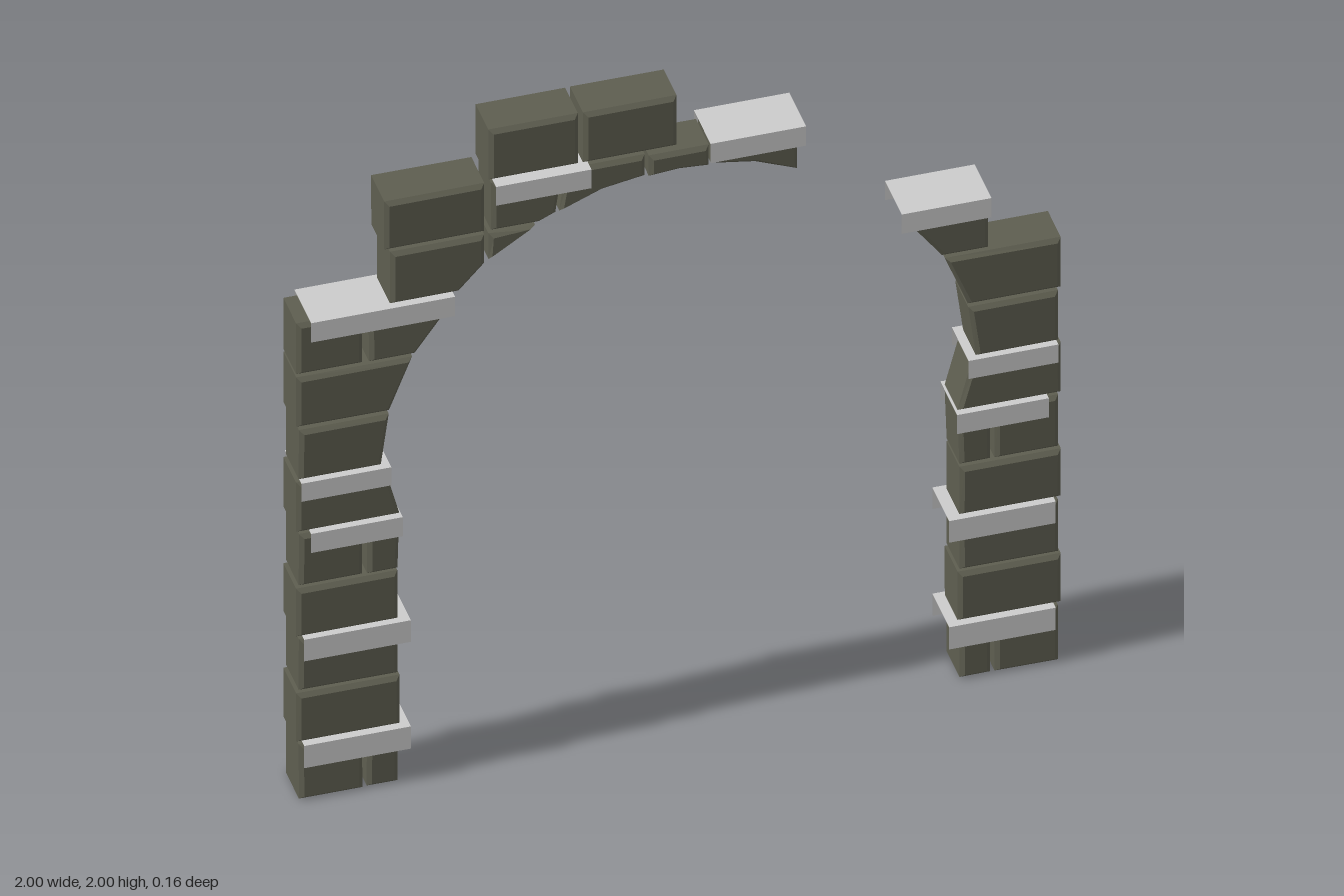
import * as THREE from 'three';

const stoneMat = new THREE.MeshStandardMaterial({ color: 0x5e5e50, flatShading: true });
const sheetMat = new THREE.MeshStandardMaterial({ color: 0xcccccc, flatShading: true, side: THREE.DoubleSide });

let seed = 7;
const rand = () => (seed = (seed * 16807) % 2147483647) / 2147483647;

// Rough-cut stone: outline in the wall plane, chamfered front and back, slightly tapered in depth
function stone(name, points, zMid = -0.002) {
  const bevel = 0.011, half = 0.066;
  const pts = points.map(([x, y]) => new THREE.Vector2(x, y));
  if (THREE.ShapeUtils.isClockWise(pts)) pts.reverse();
  const geo = new THREE.ExtrudeGeometry(new THREE.Shape(pts), {
    depth: 2 * (half - bevel), bevelEnabled: true, bevelSegments: 1,
    bevelSize: bevel, bevelOffset: -bevel, bevelThickness: bevel, steps: 1,
  });
  geo.translate(0, 0, bevel - half);
  geo.computeBoundingBox();
  const { min, max } = geo.boundingBox;
  const taper = (rand() - 0.5) * 0.1, twist = (rand() - 0.5) * 0.06;
  const pos = geo.attributes.position;
  for (let i = 0; i < pos.count; i++) {
    const u = (pos.getX(i) - min.x) / (max.x - min.x) - 0.5;
    const v = (pos.getY(i) - min.y) / (max.y - min.y) - 0.5;
    pos.setZ(i, pos.getZ(i) * (1 + taper * v + twist * u) + zMid);
  }
  geo.computeVertexNormals();
  const mesh = new THREE.Mesh(geo, stoneMat);
  mesh.name = name;
  return mesh;
}

const quad = (x0, x1, y0, y1) => [[x0, y0], [x1, y0], [x1, y1], [x0, y1]];

// Thin folded cover: top sheet with a flap hanging down the front and the back
function cover(name, x0, x1, yLow, yTop, zBack = -0.078, zFront = 0.067) {
  const group = new THREE.Group();
  group.name = name;
  const w = x1 - x0, h = yTop - yLow, cx = (x0 + x1) / 2, d = zFront - zBack;
  const top = new THREE.Mesh(new THREE.PlaneGeometry(w, d).rotateX(-Math.PI / 2), sheetMat);
  top.position.set(cx, yTop, (zFront + zBack) / 2);
  top.name = name + 'Top';
  group.add(top);
  for (const [z, label] of [[zFront, 'Front'], [zBack, 'Back']]) {
    const geo = new THREE.PlaneGeometry(w, h);
    if (label === 'Back') geo.rotateY(Math.PI);
    const flap = new THREE.Mesh(geo, sheetMat);
    flap.position.set(cx, (yTop + yLow) / 2, z);
    flap.name = name + label;
    group.add(flap);
  }
  return group;
}

// Pillar courses: y range, inner edge at the bottom and top, and whether the course is split
const courses = [
  [0, 0.17, 0.735, 0.735, true],
  [0.18, 0.333, 0.73, 0.73],
  [0.341, 0.503, 0.735, 0.735],
  [0.513, 0.663, 0.735, 0.735],
  [0.672, 0.835, 0.735, 0.73, true],
  [0.843, 0.998, 0.73, 0.77],
  [1.006, 1.163, 0.778, 0.758],
  [1.173, 1.33, 0.757, 0.697],
];

function pillar(side) {
  const group = new THREE.Group();
  group.name = side > 0 ? 'leftPillar' : 'rightPillar';
  courses.forEach(([y0, y1, in0, in1, split], i) => {
    const outer = side * (i % 2 ? 1 : 0.993);
    const a = side * in0, b = side * in1;
    if (split) {
      group.add(stone('pillarStone', quad(outer, side * 0.827, y0, y1)));
      group.add(stone('pillarStone', [[side * 0.815, y0], [a, y0], [b, y1], [side * 0.815, y1]]));
    } else {
      group.add(stone('pillarStone', [[outer, y0], [a, y0], [b, y1], [outer, y1]]));
    }
  });
  // Covers on four of the seams
  for (const [inner, outer, low, top] of [
    [0.704, 0.983, 0.103, 0.173], [0.704, 0.983, 0.44, 0.508],
    [0.725, 0.965, 0.778, 0.838], [0.755, 0.99, 0.945, 1.002],
  ]) {
    group.add(cover('seamCover', Math.min(side * inner, side * outer), Math.max(side * inner, side * outer), low, top));
  }
  // Springing stone where the arch leaves the pillar
  group.add(stone('springStone', [[side * 0.81, 1.34], [side * 0.69, 1.34], [side * 0.61, 1.45],
    [side * 0.6, 1.498], [side * 0.81, 1.498]]));
  return group;
}

export function createModel() {
  const model = new THREE.Group();
  model.name = 'ruinedStoneArch';
  const left = pillar(1), right = pillar(-1);
  left.add(cover('springCover', 0.58, 0.815, 1.442, 1.503));
  right.add(stone('pillarStone', quad(-1, -0.828, 1.34, 1.5)));
  right.add(cover('springCover', -0.965, -0.588, 1.442, 1.503));
  model.add(left, right);

  // Surviving part of the arch
  const arch = new THREE.Group();
  arch.name = 'arch';
  const archStones = [
    [[-0.755, 1.51], [-0.575, 1.51], [-0.508, 1.582], [-0.508, 1.672], [-0.755, 1.672]],
    quad(-0.77, -0.508, 1.682, 1.835),
    [[-0.497, 1.592], [-0.375, 1.673], [-0.497, 1.673]],
    [[-0.49, 1.682], [-0.365, 1.682], [-0.322, 1.702], [-0.305, 1.83], [-0.49, 1.83]],
    [[-0.312, 1.704], [-0.2, 1.748], [-0.088, 1.766], [-0.088, 1.832], [-0.295, 1.832]],
  ];
  for (const p of archStones) arch.add(stone('archStone', p));
  arch.add(stone('keystone', [[-0.08, 1.768], [0, 1.774], [0.077, 1.768], [0.077, 1.832], [-0.08, 1.832]], 0.006));
  arch.add(stone('archStone', [[0.085, 1.766], [0.2, 1.746], [0.31, 1.7], [0.31, 1.83], [0.085, 1.83]]));
  arch.add(cover('archCover', -0.485, -0.235, 1.776, 1.835, -0.068, 0.079));
  arch.add(cover('archCover', 0.08, 0.33, 1.776, 1.837));
  model.add(arch);

  // Two capping stones on top
  const cap = new THREE.Group();
  cap.name = 'capStones';
  cap.add(stone('capStone', quad(-0.497, -0.263, 1.843, 2)), stone('capStone', quad(-0.25, -0.005, 1.843, 2)));
  model.add(cap);
  return model;
}
